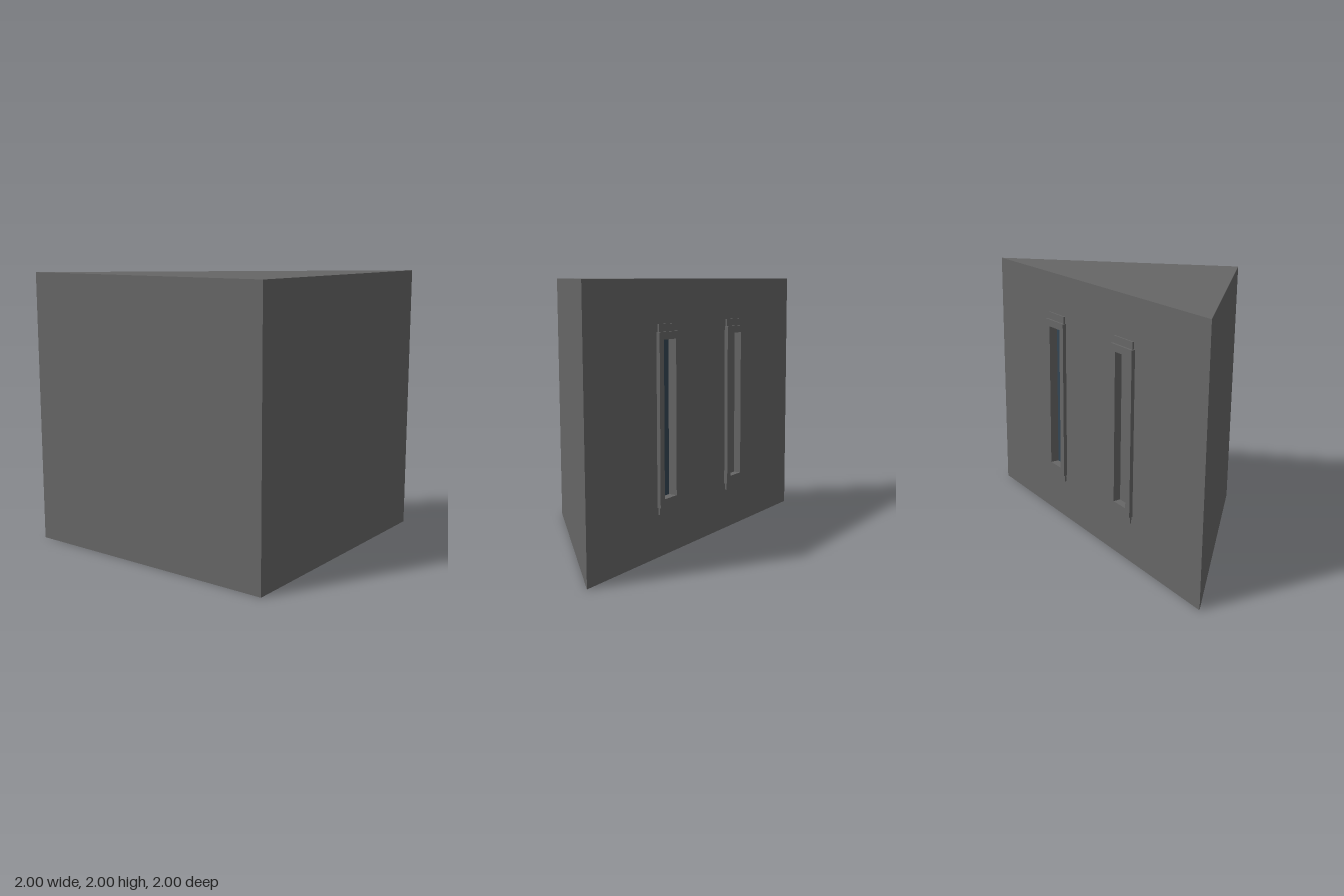
import * as THREE from 'three';

const W = 2 * Math.SQRT2;          // length of the diagonal wall
const WINDOW_X = W / 6;            // windows sit at thirds of the wall
const OPEN = [0.155, 1.15];        // window opening
const FRAME = [0.262, 1.26];       // frame outline

// Counter-clockwise rectangle centred on (x, y)
function rect(Type, x, y, w, h) {
  const a = w / 2, b = h / 2;
  return new Type([[-a, -b], [a, -b], [a, b], [-a, b]].map(([u, v]) => new THREE.Vector2(x + u, y + v)));
}

export function createModel() {
  const stone = new THREE.MeshStandardMaterial({ color: 0x666666 });
  stone.name = 'stone grey';
  const glass = new THREE.MeshStandardMaterial({ color: 0x334452 });
  glass.name = 'dark blue glass';

  const model = new THREE.Group();
  model.name = 'cornerBlock';
  const add = (parent, name, geometry, material = stone) => {
    const mesh = new THREE.Mesh(geometry, material);
    mesh.name = name;
    parent.add(mesh);
    return mesh;
  };

  // Triangular top and bottom
  const triangle = (sign) => new THREE.ShapeGeometry(new THREE.Shape(
    [[-1, -1], [1, -1], [1, 1]].map(([x, y]) => new THREE.Vector2(x, y * sign))));
  const top = add(model, 'top', triangle(1));
  top.rotation.x = -Math.PI / 2;
  top.position.y = 2;
  add(model, 'bottom', triangle(-1)).rotation.x = Math.PI / 2;

  // Two square walls
  add(model, 'frontWall', new THREE.PlaneGeometry(2, 2)).position.set(0, 1, 1);
  const side = add(model, 'sideWall', new THREE.PlaneGeometry(2, 2));
  side.position.set(1, 1, 0);
  side.rotation.y = Math.PI / 2;

  // Diagonal wall, its local +z pointing outwards
  const diagonal = new THREE.Group();
  diagonal.name = 'diagonalWall';
  diagonal.rotation.y = -3 * Math.PI / 4;
  model.add(diagonal);
  const wall = rect(THREE.Shape, 0, 1, W, 2);
  for (const s of [-1, 1]) wall.holes.push(rect(THREE.Path, s * WINDOW_X, 1, ...OPEN));
  add(diagonal, 'wallFace', new THREE.ShapeGeometry(wall));

  // Windows: one glazed, one blind
  for (const s of [-1, 1]) {
    const win = new THREE.Group();
    win.name = s < 0 ? 'glazedWindow' : 'blindWindow';
    win.position.set(s * WINDOW_X, 1, 0);
    diagonal.add(win);

    const back = s < 0 ? 0.04 : 0.03;
    const ring = rect(THREE.Shape, 0, 0, ...FRAME);
    ring.holes.push(rect(THREE.Path, 0, 0, ...OPEN));
    add(win, 'frame', new THREE.ExtrudeGeometry(ring, { depth: 0.028 + back, bevelEnabled: false }))
      .position.z = -back;
    add(win, 'pane', new THREE.PlaneGeometry(...OPEN), s < 0 ? glass : stone).position.z = -back;

    // Shallow lintel and sill
    for (const v of [-1, 1]) {
      add(win, v > 0 ? 'lintel' : 'sill', new THREE.BoxGeometry(0.235, 0.055, 0.012))
        .position.set(0, v * 0.6575, 0.006);
    }
  }
  return model;
}
